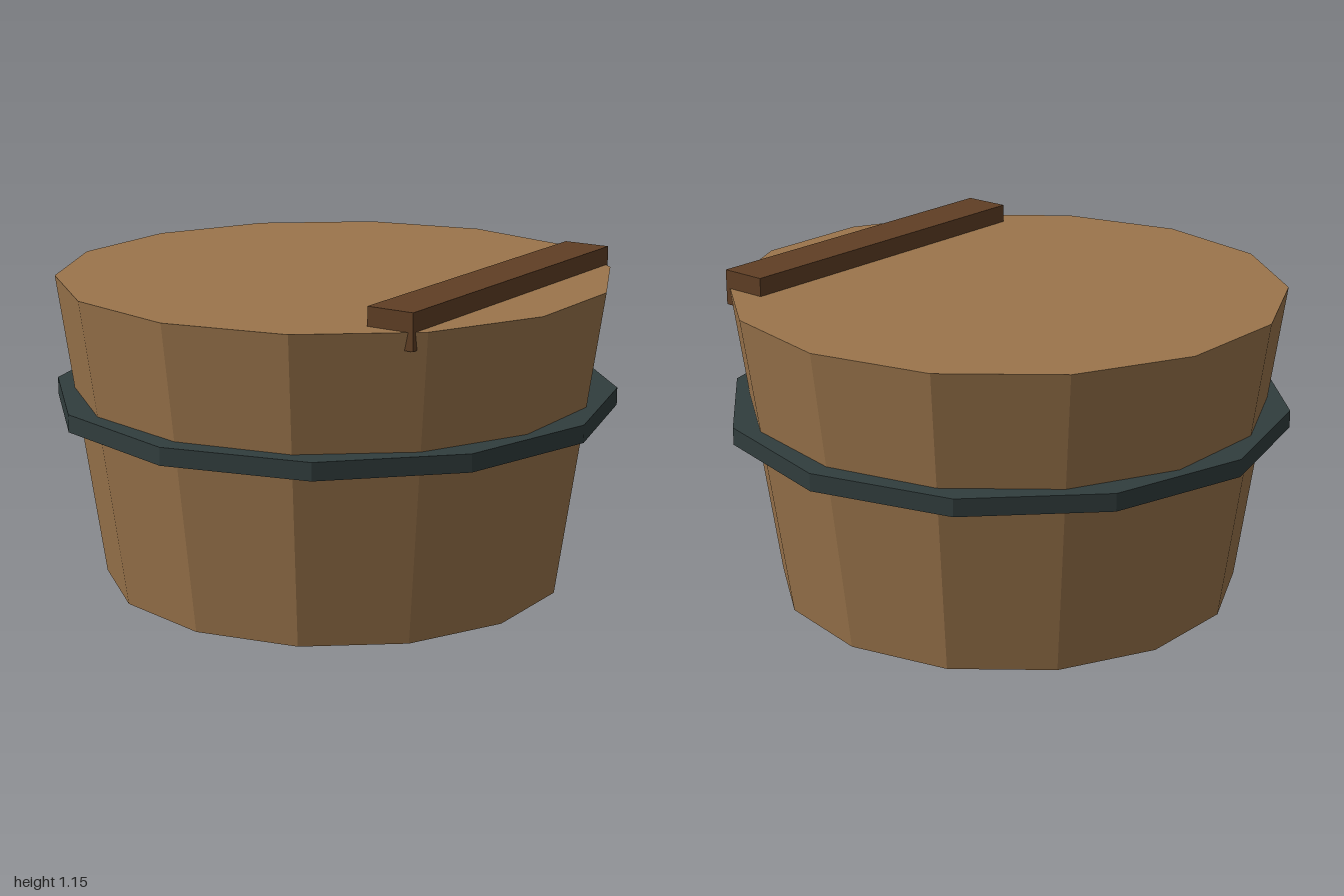
import * as THREE from 'three';

const paint = (name, color) => {
  const m = new THREE.MeshStandardMaterial({ color });
  m.name = name;
  m.flatShading = true;
  return m;
};

export function createModel() {
  const model = new THREE.Group();
  model.name = 'woodenTub';

  const add = (name, geometry, material, x, y, z) => {
    const mesh = new THREE.Mesh(geometry, material);
    mesh.name = name;
    mesh.position.set(x, y, z);
    model.add(mesh);
  };

  // Tapered fourteen-sided tub, closed at the top
  add('tub', new THREE.CylinderGeometry(0.98, 0.826, 1.09, 14), paint('lightWood', 0x9b754c), 0, 0.545, 0);

  // Twelve-sided iron band round the middle
  add('hoop', new THREE.CylinderGeometry(1, 1, 0.062, 12), paint('darkIron', 0x313d3d), 0, 0.655, 0);

  // Batten sunk into the lid, its outer corners poking through the wall
  add('batten', new THREE.BoxGeometry(0.17, 0.125, 1.3), paint('darkWood', 0x603f25), 0.65, 1.0925, 0);

  return model;
}
